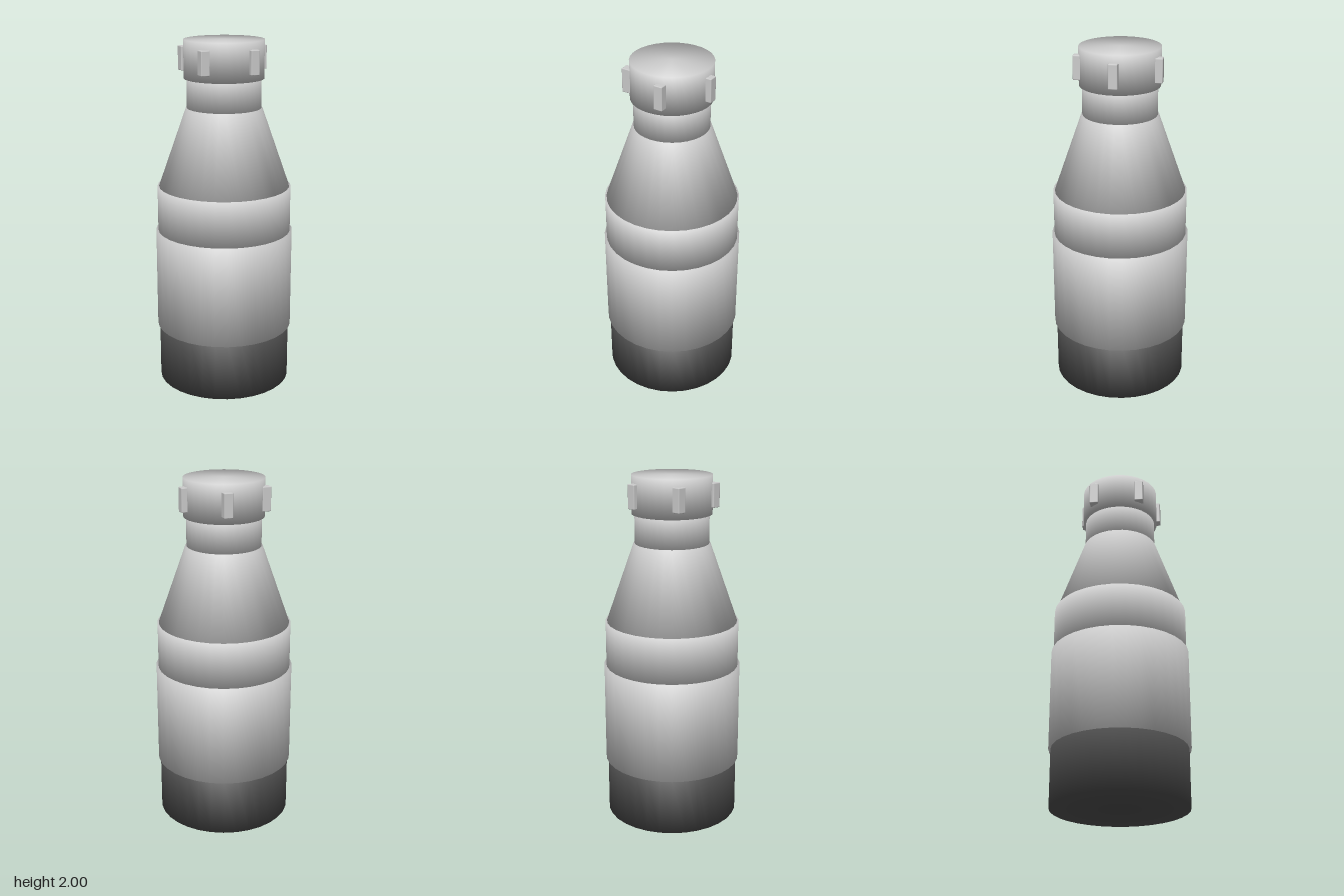
import * as THREE from 'three';
import { RoundedBoxGeometry } from 'three/addons/geometries/RoundedBoxGeometry.js';

const light = new THREE.MeshStandardMaterial({ color: 0xcccccc });
light.name = 'light grey';
const dark = new THREE.MeshStandardMaterial({ color: 0x4d4d4d });
dark.name = 'dark grey';

// Closed round section; the lathe smooths the normals over its rims.
function section(name, rBottom, rTop, y0, y1, material) {
  const profile = [[0, y0], [rBottom, y0], [rTop, y1], [0, y1]]
    .map(([x, y]) => new THREE.Vector2(x, y));
  const mesh = new THREE.Mesh(new THREE.LatheGeometry(profile, 32), material);
  mesh.name = name;
  return mesh;
}

export function createModel() {
  const bottle = new THREE.Group();
  bottle.name = 'bottle';

  // Body, from the base up to the neck
  bottle.add(
    section('base', 0.383, 0.383, 0, 0.36, dark),
    section('labelBand', 0.395, 0.395, 0.33, 0.91, light),
    section('upperBody', 0.383, 0.383, 0.88, 1.17, light),
    section('shoulder', 0.374, 0.216, 1.17, 1.62, light),
    section('neck', 0.21, 0.21, 1.6, 1.8, light)
  );

  // Cap with five grip ribs, all square to the axes
  const cap = new THREE.Group();
  cap.name = 'cap';
  cap.add(section('capBody', 0.226, 0.226, 1.785, 2, light));
  const ribShape = new RoundedBoxGeometry(0.052, 0.136, 0.052, 1, 0.005);
  for (let i = 0; i < 5; i++) {
    const a = (i / 5) * Math.PI * 2;
    const rib = new THREE.Mesh(ribShape, light);
    rib.name = 'gripRib';
    rib.position.set(Math.cos(a) * 0.23, 1.892, Math.sin(a) * 0.23);
    cap.add(rib);
  }
  bottle.add(cap);
  return bottle;
}
